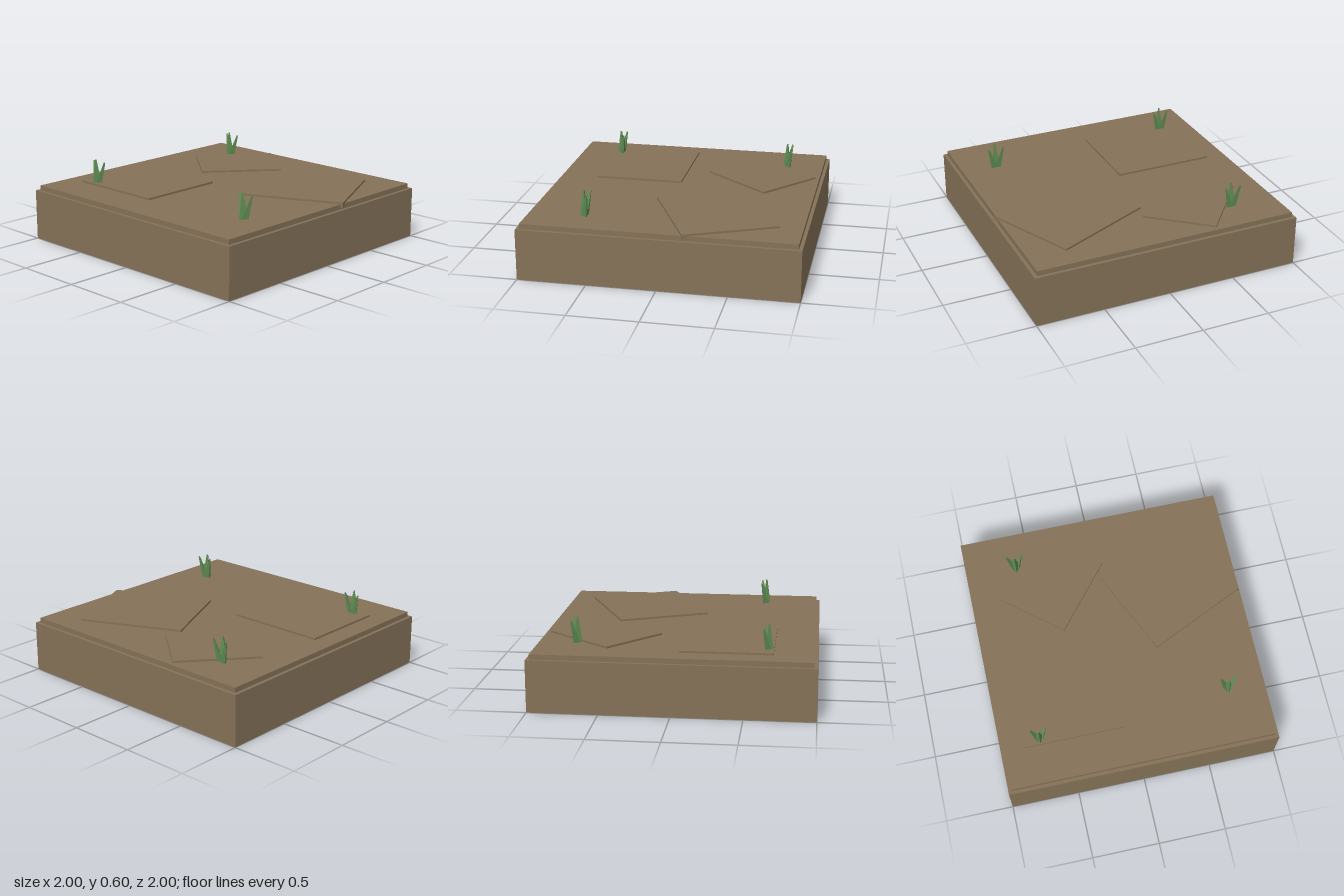
import * as THREE from 'three';

export function createModel() {
  const group = new THREE.Group();
  const earth = new THREE.MeshStandardMaterial({ color: 0x857258, flatShading: true });
  earth.name = 'earth brown';
  const green = new THREE.MeshStandardMaterial({ color: 0x5e8c52, flatShading: true });
  green.name = 'grass green';

  // Box slab placed by its bottom and top heights, turned about y
  function slab(name, w, d, y0, y1, x = 0, z = 0, turn = 0) {
    const mesh = new THREE.Mesh(new THREE.BoxGeometry(w, y1 - y0, d), earth);
    mesh.name = name;
    mesh.position.set(x, (y0 + y1) / 2, z);
    mesh.rotation.y = turn;
    group.add(mesh);
  }

  // Ground block with a slightly inset top layer
  slab('groundBlock', 2, 2, 0, 0.375);
  slab('topLayer', 1.95, 1.95, 0.375, 0.412);

  // Thin dirt patches lying on the top layer
  slab('backPatch', 0.533, 0.618, 0.387, 0.427, -0.372, -0.538, -0.692);
  slab('sidePatch', 0.78, 0.695, 0.387, 0.427, 0.491, -0.332, 0.432);
  slab('frontPatch', 0.74, 0.655, 0.387, 0.427, -0.455, 0.367);

  // Three-sided tapering blade from a base point to a tip
  function blade(base, tip, radius) {
    const dir = tip.clone().sub(base);
    const geo = new THREE.CylinderGeometry(0.007, radius, dir.length(), 3);
    const mesh = new THREE.Mesh(geo, green);
    mesh.name = 'grassBlade';
    mesh.position.copy(base).add(tip).multiplyScalar(0.5);
    mesh.quaternion.setFromUnitVectors(new THREE.Vector3(0, 1, 0), dir.normalize());
    return mesh;
  }

  // Grass tufts: one upright blade and two leaning outwards and back
  for (const [x, z] of [[-0.62, -0.705], [-0.705, 0.652], [0.718, 0.57]]) {
    const tuft = new THREE.Group();
    tuft.name = 'grassTuft';
    tuft.position.set(x, 0.41, z);
    tuft.add(blade(new THREE.Vector3(0, 0, 0), new THREE.Vector3(0, 0.19, 0.005), 0.038));
    for (const s of [-1, 1]) {
      tuft.add(blade(new THREE.Vector3(s * 0.012, 0, -0.004), new THREE.Vector3(s * 0.058, 0.17, -0.03), 0.028));
    }
    group.add(tuft);
  }

  return group;
}
